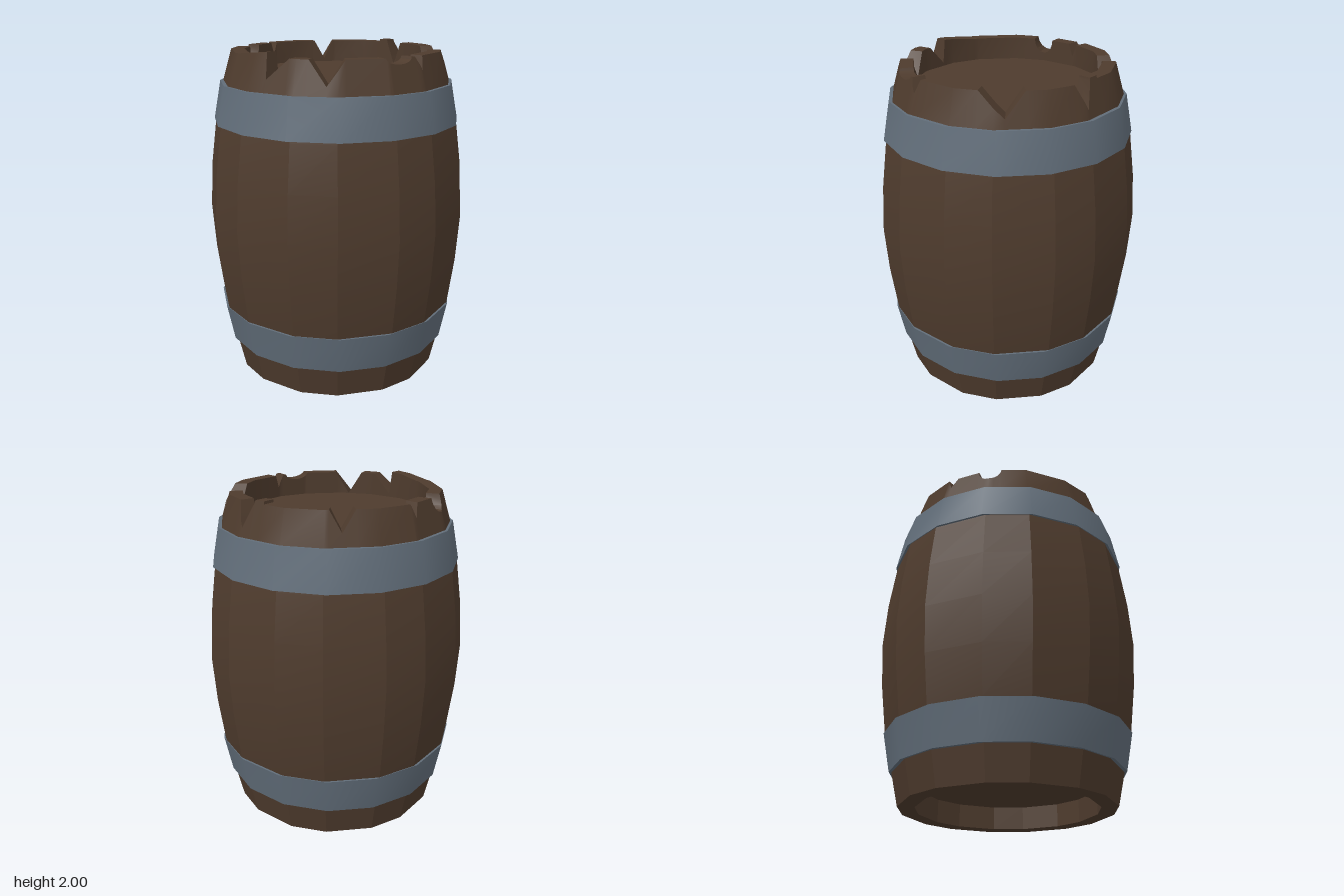
import * as THREE from 'three';
import { toCreasedNormals } from 'three/addons/utils/BufferGeometryUtils.js';

const wood = new THREE.MeshStandardMaterial({ color: 0x4e3b2d });
const iron = new THREE.MeshStandardMaterial({ color: 0x616d79 });
const rad = THREE.MathUtils.degToRad;

// Angles in degrees run from the front (+z) towards the left (+x).
// Sixteen staves, alternately narrow and wide.
const staveAngles = [];
for (let q = 0; q < 4; q++) for (const a of [24, 44, 69.3, 88.5]) staveAngles.push(a + 90 * q);
const hoopAngles = Array.from({ length: 16 }, (_, i) => i * 22.5);

// How far in a flat stave lies from the circle through its corners
function chord(angle) {
  const n = staveAngles.length;
  for (let i = 0; i < n; i++) {
    const a = staveAngles[i];
    const b = staveAngles[(i + 1) % n] + (i === n - 1 ? 360 : 0);
    const t = angle < a ? angle + 360 : angle;
    if (t >= a && t <= b) return Math.cos(rad((b - a) / 2)) / Math.cos(rad(t - (a + b) / 2));
  }
  return 1;
}

// Joins the section [radius, y] at every angle into a closed surface of revolution
function loft(angles, sectionAt, crease) {
  const sections = angles.map(sectionAt);
  const rows = sections[0].length;
  const pos = [], index = [];
  angles.forEach((a, i) => {
    for (const [r, y] of sections[i]) pos.push(r * Math.sin(rad(a)), y, r * Math.cos(rad(a)));
    const next = (i + 1) % angles.length;
    for (let j = 0; j < rows - 1; j++) {
      const p = i * rows + j, q = next * rows + j;
      if (sections[i][j][0] > 0) index.push(p, q, q + 1);
      if (sections[i][j + 1][0] > 0) index.push(p, q + 1, p + 1);
    }
  });
  const geo = new THREE.BufferGeometry();
  geo.setAttribute('position', new THREE.Float32BufferAttribute(pos, 3));
  geo.setIndex(index);
  return toCreasedNormals(geo, rad(crease));
}

// Broken top edge as [angle, height]: splits, a raised splinter and rounded bites
const TOP = 1.975;
const bite = (centre, half, depth) =>
  Array.from({ length: 9 }, (_, i) => {
    const t = Math.PI * i / 8;
    return [centre - half * Math.cos(t), TOP - depth * Math.sin(t)];
  });
const edge = [
  [0, 1.9], [2.5, TOP],
  [36, TOP], [49, 1.84], [59, TOP],
  [84, TOP], [90, 1.84], [95, TOP], [95.2, 1.99], [101, 1.99], [101.2, TOP],
  [136, TOP], [142, 1.86], [149, TOP],
  [178, TOP], [181, 1.9], [184, TOP],
  ...bite(204, 6.5, 0.085),
  [252, TOP], [276, 2], [278, 1.86], [290, TOP],
  [300, TOP], [309, 1.84], [318, TOP],
  ...bite(346, 8, 0.035),
  [356, TOP], [360, 1.9],
];
function edgeHeight(angle) {
  for (let i = 0; i < edge.length - 1; i++) {
    const [a, ya] = edge[i], [b, yb] = edge[i + 1];
    if (angle >= a && angle <= b) return ya + (yb - ya) * (angle - a) / (b - a);
  }
  return TOP;
}

export function createModel() {
  const barrel = new THREE.Group();
  barrel.name = 'barrel';
  const add = (name, geo, mat) => {
    const mesh = new THREE.Mesh(geo, mat);
    mesh.name = name;
    barrel.add(mesh);
  };

  // Bulging staves with the recessed foot
  const staves = [
    [0.54, 0.14], [0.54, 0], [0.64, 0], [0.683, 0.19], [0.738, 0.43], [0.775, 0.72],
    [0.793, 1], [0.775, 1.28], [0.738, 1.55], [0.683, 1.79],
  ];
  add('staves', loft(staveAngles, () => staves, 14), wood);
  add('bottomHead', loft(staveAngles, () => [[0, 0.14], [0.54, 0.14]], 14), wood);

  // Chipped rim, cut to the broken edge
  const rimAngles = [...new Set([...edge.map((e) => e[0]), ...staveAngles])]
    .filter((a) => a < 360).sort((a, b) => a - b);
  add('chippedRim', loft(rimAngles, (a) => {
    const y = edgeHeight(a), k = chord(a);
    const outer = 0.683 - (y - 1.79) * 0.3;
    return [[0.683 * k, 1.79], [outer * k, y], [0.55 * k, y], [0.55 * k, 1.838]];
  }, 24), wood);
  add('topHead', loft(staveAngles, () => [[0.55, 1.84], [0, 1.84]], 14), wood);

  // Iron hoops, mirrored about the middle
  const upper = [[0.745, 1.56], [0.7, 1.79], [0.67, 1.79], [0.715, 1.56], [0.745, 1.56]];
  const lower = upper.map(([r, y]) => [r, 1.985 - y]).reverse();
  add('upperHoop', loft(hoopAngles, () => upper, 30), iron);
  add('lowerHoop', loft(hoopAngles, () => lower, 30), iron);
  return barrel;
}
